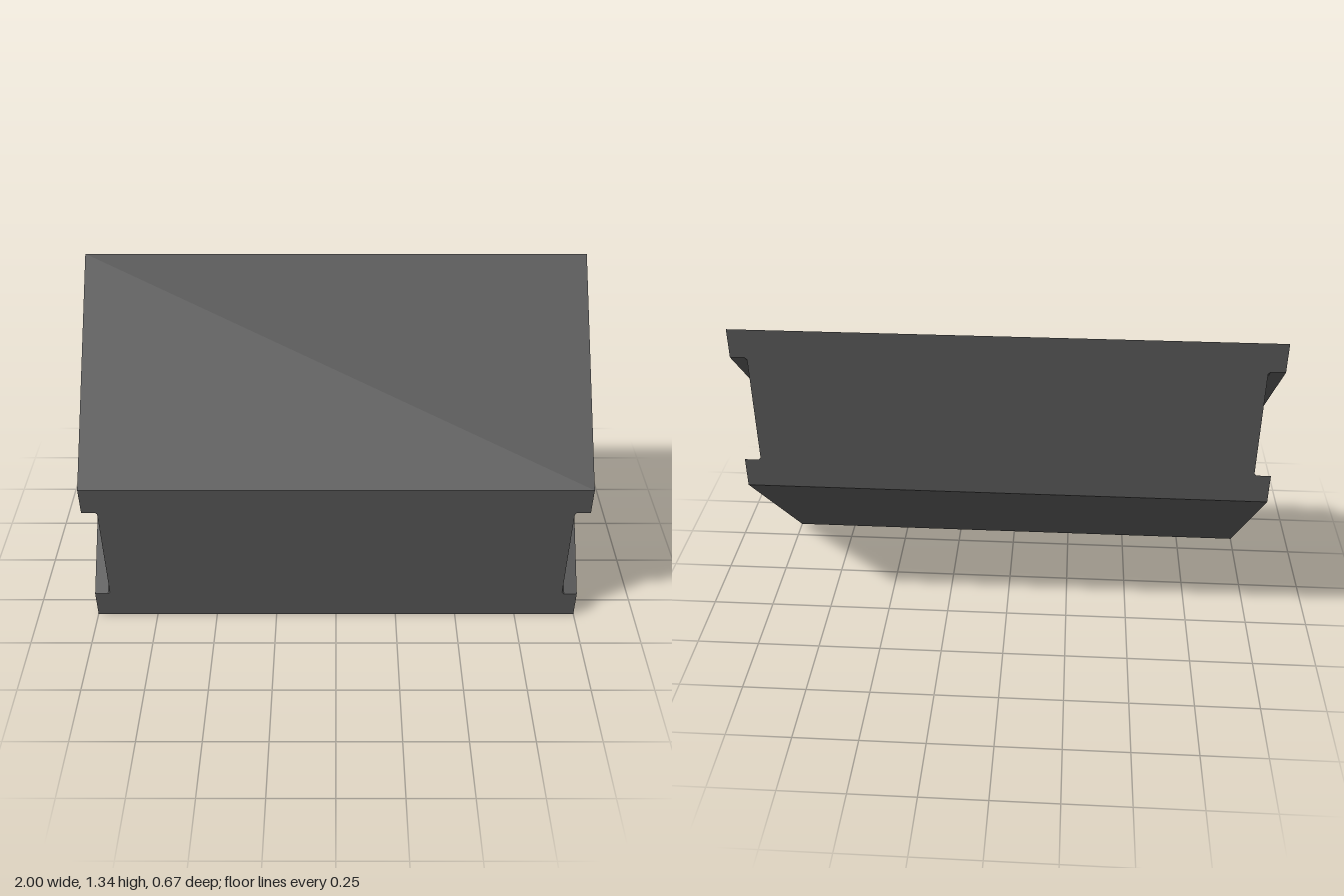
import * as THREE from 'three';

export function createModel() {
  const group = new THREE.Group();
  group.name = 'slantedBlock';
  const darkGrey = new THREE.MeshStandardMaterial({ color: 0x545454 });
  darkGrey.name = 'darkGrey';

  const half = 0.335, height = 0.67;
  const low = 0.118, high = 0.557, inner = 0.938, c = 0.008;

  // Right half of the I-shaped section, with small bevels in the groove corners
  const side = [
    [1, 0], [1, low], [inner + c, low], [inner, low + c],
    [inner, high - c], [inner + c, high], [1, high], [1, height],
  ];
  const mirrored = side.map(([x, y]) => [-x, y]).reverse();
  const section = new THREE.Shape([...side, ...mirrored].map(([x, y]) => new THREE.Vector2(x, y)));

  // Run the section front to back, then shear it so it climbs at 45 degrees
  const geometry = new THREE.ExtrudeGeometry(section, { depth: 2 * half, bevelEnabled: false });
  geometry.translate(0, 0, -half);
  geometry.applyMatrix4(new THREE.Matrix4().set(
    1, 0, 0, 0,
    0, 1, -1, half,
    0, 0, 1, 0,
    0, 0, 0, 1,
  ));

  const body = new THREE.Mesh(geometry, darkGrey);
  body.name = 'groovedBody';
  group.add(body);
  return group;
}
